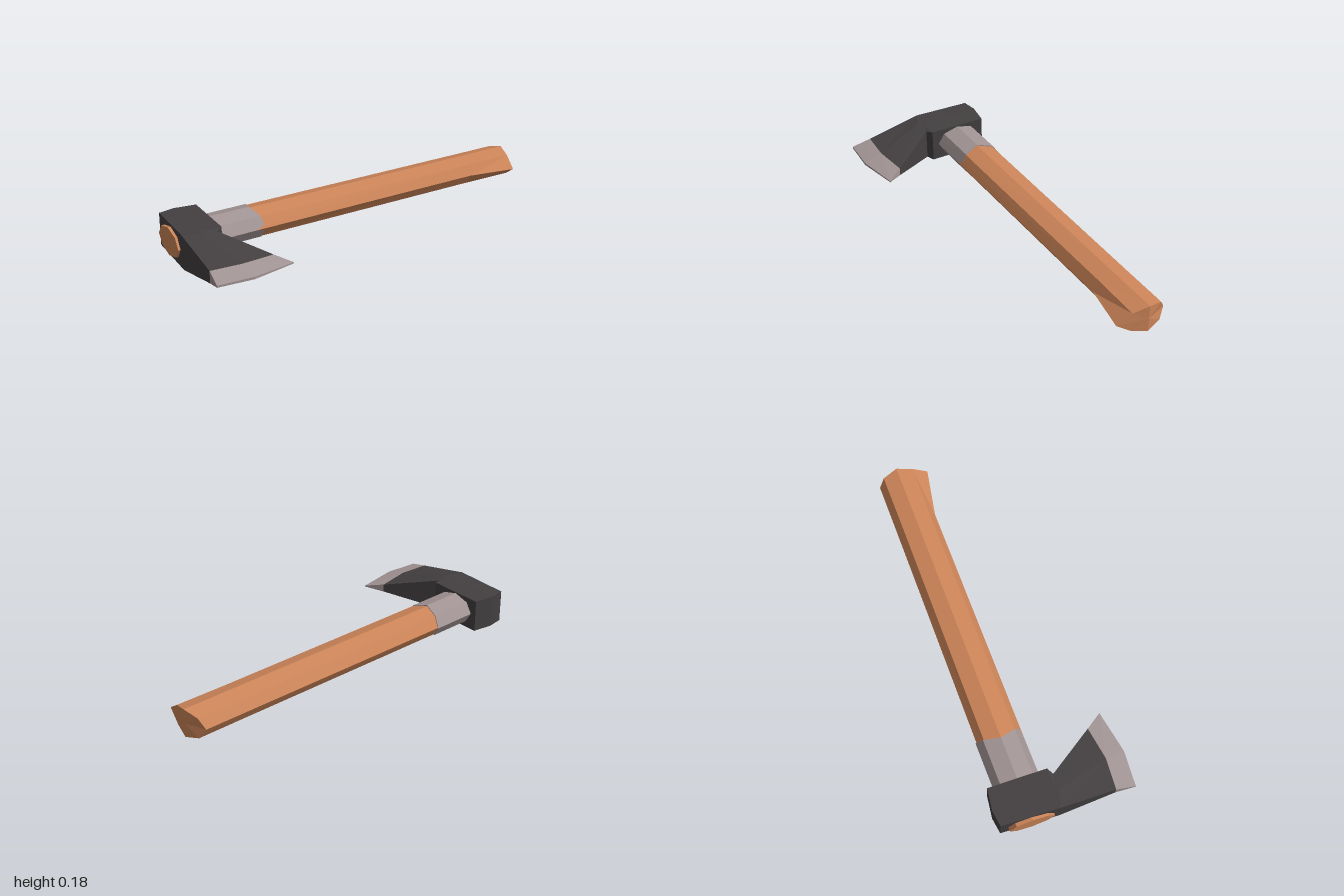
import * as THREE from 'three';

const paint = (color) => new THREE.MeshStandardMaterial({ color, flatShading: true });

// Skin a row of cross-section rings (each clockwise seen from the last ring) and cap both ends.
function loft(name, rings, material) {
  const n = rings[0].length, k = Math.floor(n / 4), out = [];
  const tri = (...points) => points.forEach((p) => out.push(...p));
  const middle = (r) => r[k].map((v, i) => (v + r[k + n / 2][i]) / 2);
  const first = rings[0], last = rings[rings.length - 1];
  for (let j = 0; j < n; j++) {
    const m = (j + 1) % n;
    for (let i = 0; i + 1 < rings.length; i++) {
      const a = rings[i], b = rings[i + 1];
      tri(a[j], b[j], b[m]);
      tri(a[j], b[m], a[m]);
    }
    tri(middle(first), first[j], first[m]);
    tri(middle(last), last[m], last[j]);
  }
  const geometry = new THREE.BufferGeometry();
  geometry.setAttribute('position', new THREE.Float32BufferAttribute(out, 3));
  geometry.computeVertexNormals();
  const mesh = new THREE.Mesh(geometry, material);
  mesh.name = name;
  return mesh;
}

// Octagonal ring square to the slanted handle axis; bend shifts points by their side (-1..1).
function octagon(z, hx, hy, bend = () => [0, 0]) {
  return Array.from({ length: 8 }, (_, i) => {
    const a = (i * Math.PI) / 4, side = Math.cos(a);
    const [bx, bz] = bend(side);
    return [-0.12 - 0.085 * z + hx * side + bx, 0.09 + hy * Math.sin(a), z + 0.1 * hx * side + bz];
  });
}

// Head section: front, middle and back points as [x, z, half thickness], mirrored in height.
function section(...points) {
  const top = points.map(([x, z, h]) => [x, 0.088 + h, z]);
  const bottom = points.map(([x, z, h]) => [x, 0.088 - h, z]).reverse();
  return [...top, ...bottom];
}

export function createModel() {
  const group = new THREE.Group();
  const wood = paint(0xcd8559), iron = paint(0x444041), steel = paint(0xa39595);

  // Wooden handle, flared on one side at the butt
  group.add(loft('handle', [
    octagon(0.947, 0.113, 0.072),
    octagon(-0.72, 0.108, 0.072),
    octagon(-1, 0.111, 0.072, (s) => [s > 0.9 ? 0.04 : 0, s > 0 ? 0.036 * s * s : 0.041 * s * s]),
  ], wood));

  // Metal collar behind the head, with its rear edge dipping in the middle
  group.add(loft('collar', [
    octagon(0.85, 0.115, 0.077),
    octagon(0.525, 0.114, 0.077, (s) => [0, -0.032 * Math.abs(s)]),
  ], steel));

  // Head: poll, eye, notch and tapering cheek
  const bevel = section([0.225, 0.976, 0.031], [0.25, 0.82, 0.03], [0.24, 0.65, 0.021]);
  group.add(loft('head', [
    section([-0.35, 0.91, 0.084], [-0.355, 0.83, 0.085], [-0.33, 0.72, 0.084]),
    section([-0.065, 0.95, 0.0875], [-0.04, 0.86, 0.0875], [-0.035, 0.755, 0.086]),
    section([-0.055, 0.952, 0.0865], [-0.02, 0.87, 0.0875], [-0.018, 0.79, 0.08]),
    bevel,
  ], iron));

  // Ground cutting edge
  group.add(loft('cuttingEdge', [
    bevel,
    section([0.322, 0.997, 0.005], [0.35, 0.82, 0.006], [0.33, 0.6, 0.003]),
  ], steel));

  return group;
}
